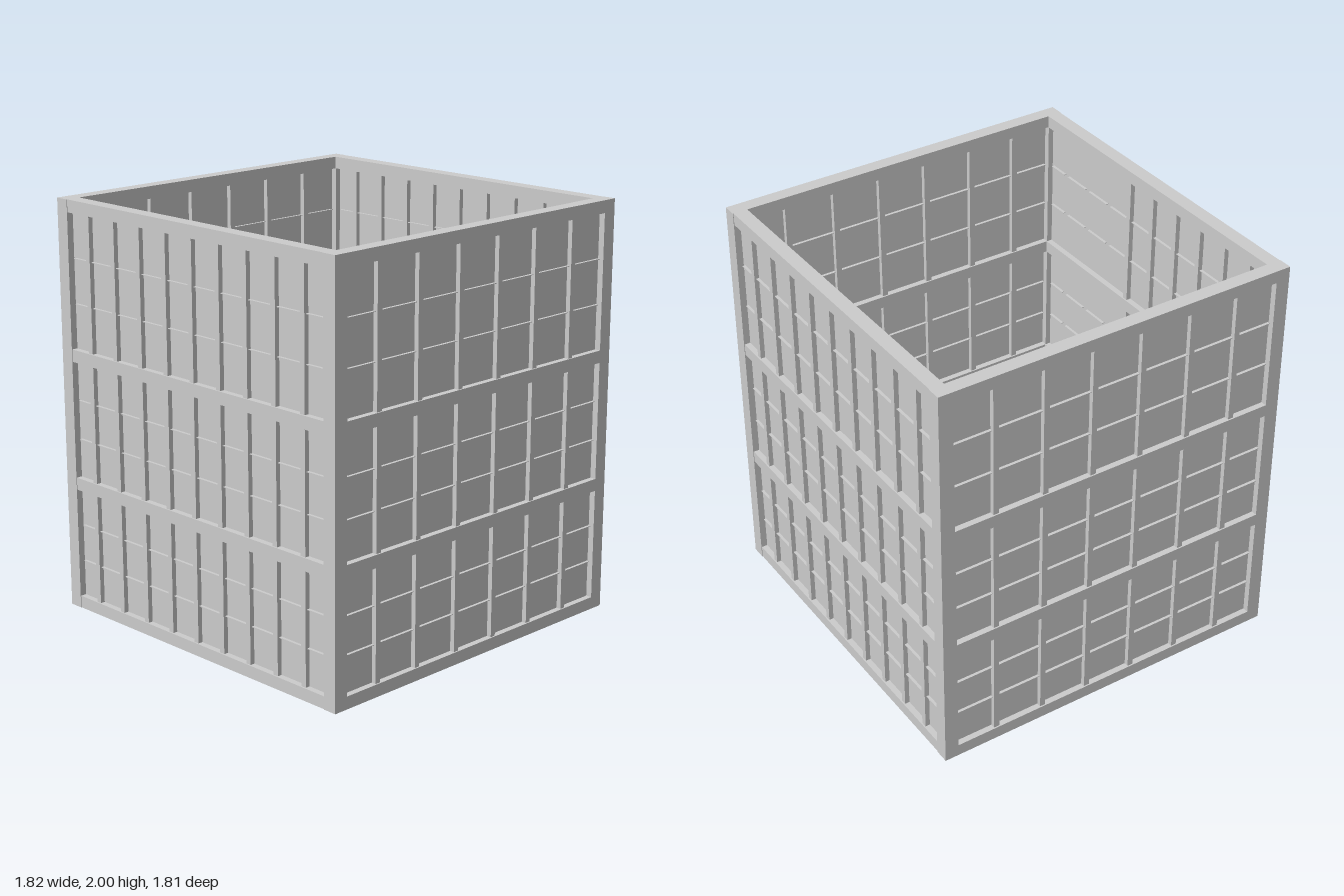
import * as THREE from 'three';

const H = 2, HALF_X = 0.91, HALF_Z = 0.905, T = 0.07;
const RAILS = [0, 0.6, 1.23, 1.94], RAIL_H = 0.06;
const material = new THREE.MeshStandardMaterial({ color: 0xcccccc, flatShading: true });

function box(parent, name, w, h, d, x, y, z) {
  const mesh = new THREE.Mesh(new THREE.BoxGeometry(w, h, d), material);
  mesh.name = name;
  mesh.position.set(x, y, z);
  parent.add(mesh);
}

// One wall in its own plane: local x runs along it, local +z points outwards.
// The first `outerOnly` bars do not show on the inside face.
function makeWall(name, half, bars, outerOnly = 0) {
  const wall = new THREE.Group();
  wall.name = name;
  for (const y of RAILS) box(wall, 'rail', half * 2, RAIL_H, T, 0, y + RAIL_H / 2, 0);

  for (let r = 0; r < RAILS.length - 1; r++) {
    const y0 = RAILS[r] + RAIL_H, h = RAILS[r + 1] - y0, yc = y0 + h / 2;
    box(wall, 'panel', half * 2, h, 0.01, 0, yc, 0);

    // upright bars dividing the row into bays
    bars.forEach((x, i) => {
      const inner = i < outerOnly ? 0 : -0.028;
      box(wall, 'uprightBar', 0.028, h, 0.028 - inner, x, yc, (0.028 + inner) / 2);
    });

    // two thin horizontal fins cross each bay
    const stops = [half, ...bars, -half];
    for (let i = 0; i < stops.length - 1; i++) {
      const w = stops[i] - stops[i + 1] - 0.03;
      for (const k of [1, 2])
        box(wall, 'fin', w, 0.003, 0.038, (stops[i] + stops[i + 1]) / 2, y0 + h * k / 3, 0);
    }
  }
  return wall;
}

export function createModel() {
  const group = new THREE.Group();
  group.name = 'panelledEnclosure';

  const wideBars = [0.705, 0.528, 0.351, 0.176, 0, -0.176, -0.353, -0.531, -0.71];
  const sideBars = [0.637, 0.388, 0.13, -0.122, -0.37, -0.624];

  // front and back, fitted between the corner posts
  const front = makeWall('frontWall', HALF_X - T, wideBars, 3);
  front.position.z = HALF_Z - T / 2 - 0.003;
  const back = makeWall('backWall', HALF_X - T, wideBars.map(x => -x));
  back.rotation.y = Math.PI;
  back.position.z = -front.position.z;
  group.add(front, back);

  // side walls
  for (const s of [1, -1]) {
    const side = makeWall(s > 0 ? 'leftWall' : 'rightWall', HALF_Z - 0.06,
      s > 0 ? sideBars.map(z => -z).reverse() : sideBars);
    side.rotation.y = s * Math.PI / 2;
    side.position.x = s * (HALF_X - T / 2);
    group.add(side);
    // corner posts
    for (const t of [1, -1])
      box(group, 'cornerPost', T, H, T, s * (HALF_X - T / 2), H / 2, t * (HALF_Z - T / 2));
  }
  return group;
}
